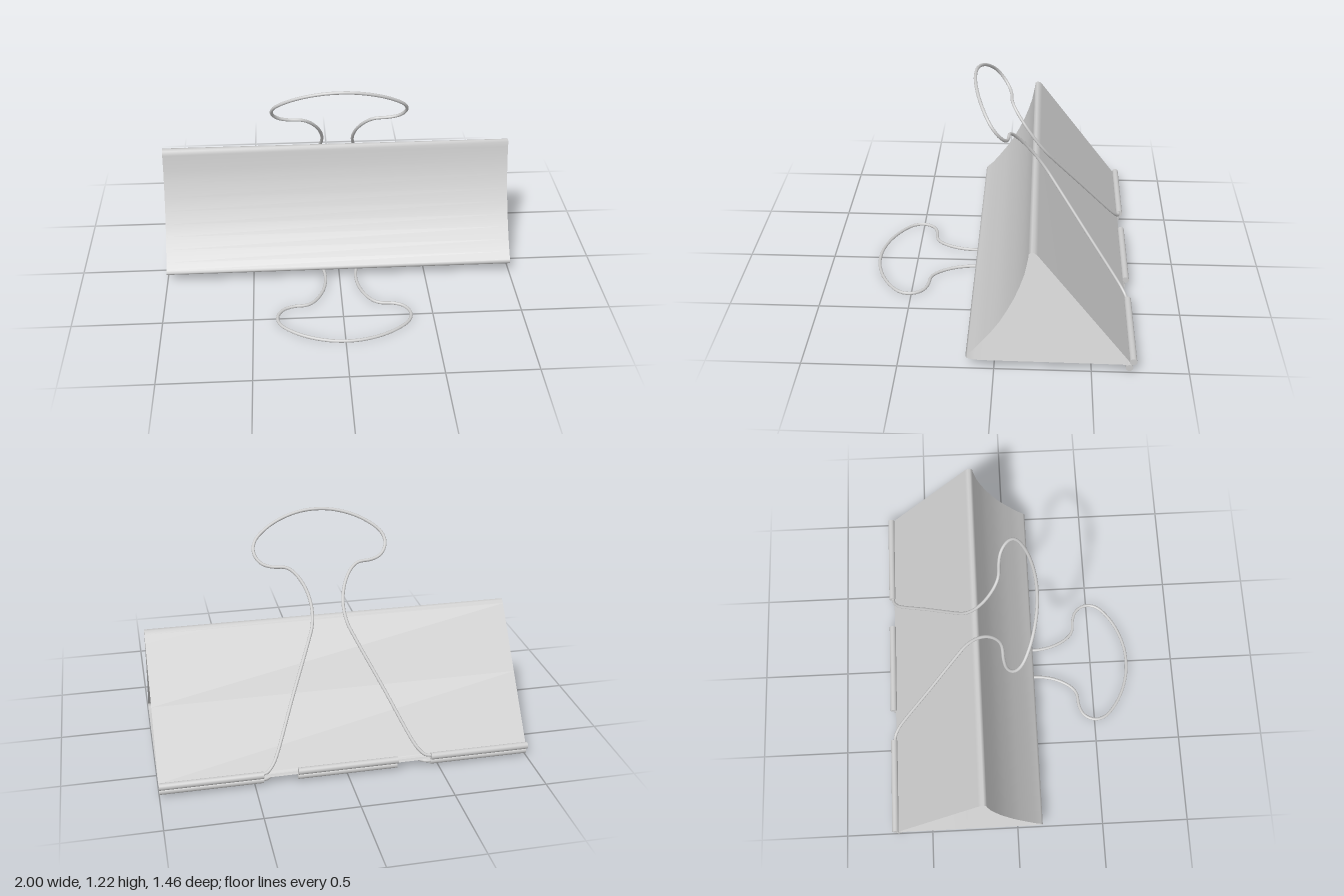
import * as THREE from 'three';

const steel = new THREE.MeshStandardMaterial({ color: 0xcccccc });
const sheetSteel = new THREE.MeshStandardMaterial({ color: 0xcccccc, side: THREE.DoubleSide });

// Folded spring sheet: a side profile [z, y] swept along x
function sheet() {
  const profile = [
    [-0.7, 0.06], [-0.69, 0.073], [-0.45, 0.39], [-0.215, 0.7], [-0.2, 0.714], [-0.185, 0.717], [-0.172, 0.708],
    [-0.169, 0.68], [-0.152, 0.59], [-0.13, 0.52], [-0.1, 0.44], [-0.066, 0.37], [-0.03, 0.302],
    [0.01, 0.242], [0.055, 0.182], [0.1, 0.125], [0.135, 0.092], [0.145, 0.08], [0.138, 0.066],
    [0.1, 0.057], [0.04, 0.055], [-0.3, 0.053], [-0.68, 0.05], [-0.7, 0.042],
  ];
  const geo = new THREE.PlaneGeometry(2, 1, 1, profile.length - 1);
  const pos = geo.attributes.position;
  for (let i = 0; i < pos.count; i++) {
    const [z, y] = profile[Math.floor(i / 2)];
    pos.setXYZ(i, pos.getX(i), y, z);
  }
  geo.computeVertexNormals();
  const mesh = new THREE.Mesh(geo, sheetSteel);
  mesh.name = 'springBody';
  return mesh;
}

// Three rolled hinge barrels along one sheet edge
function hinge(name, y, z) {
  const group = new THREE.Group();
  group.name = name;
  for (const [x0, x1] of [[-1, -0.455], [-0.27, 0.27], [0.455, 1]]) {
    const barrel = new THREE.Mesh(new THREE.CylinderGeometry(0.019, 0.019, x1 - x0, 20), steel);
    barrel.rotation.z = Math.PI / 2;
    barrel.position.set((x0 + x1) / 2, y, z);
    barrel.name = 'hingeBarrel';
    group.add(barrel);
  }
  return group;
}

// Wire handle: half outline [x, distance from hinge], mirrored into one loop
function handle(name, y, z, angle) {
  const half = [
    [0.5, 0], [0.455, 0], [0.43, 0.006], [0.405, 0.03], [0.38, 0.068], [0.25, 0.386], [0.12, 0.7], [0.1, 0.755],
    [0.089, 0.82], [0.09, 0.89], [0.11, 0.977], [0.155, 1.06], [0.2, 1.097], [0.28, 1.108],
    [0.33, 1.128], [0.362, 1.168], [0.371, 1.215], [0.352, 1.268], [0.285, 1.33], [0.195, 1.38], [0.09, 1.412],
  ];
  const right = half.map(([x, s]) => new THREE.Vector3(x, s, 0));
  const left = half.map(([x, s]) => new THREE.Vector3(-x, s, 0)).reverse();
  const path = new THREE.CatmullRomCurve3([...right, new THREE.Vector3(0, 1.42, 0), ...left]);
  const mesh = new THREE.Mesh(new THREE.TubeGeometry(path, 220, 0.009, 10), steel);
  mesh.name = name;
  mesh.position.set(0.005, y, z);
  mesh.rotation.x = angle;
  return mesh;
}

export function createModel() {
  const model = new THREE.Group();
  model.name = 'binderClip';
  model.add(
    sheet(),
    hinge('upperHinge', 0.068, -0.713),
    hinge('lowerHinge', 0.03, -0.694),
    handle('upperHandle', 0.071, -0.707, 0.641),
    handle('lowerHandle', 0.03, -0.697, Math.PI / 2 + 0.0135),
  );
  return model;
}
